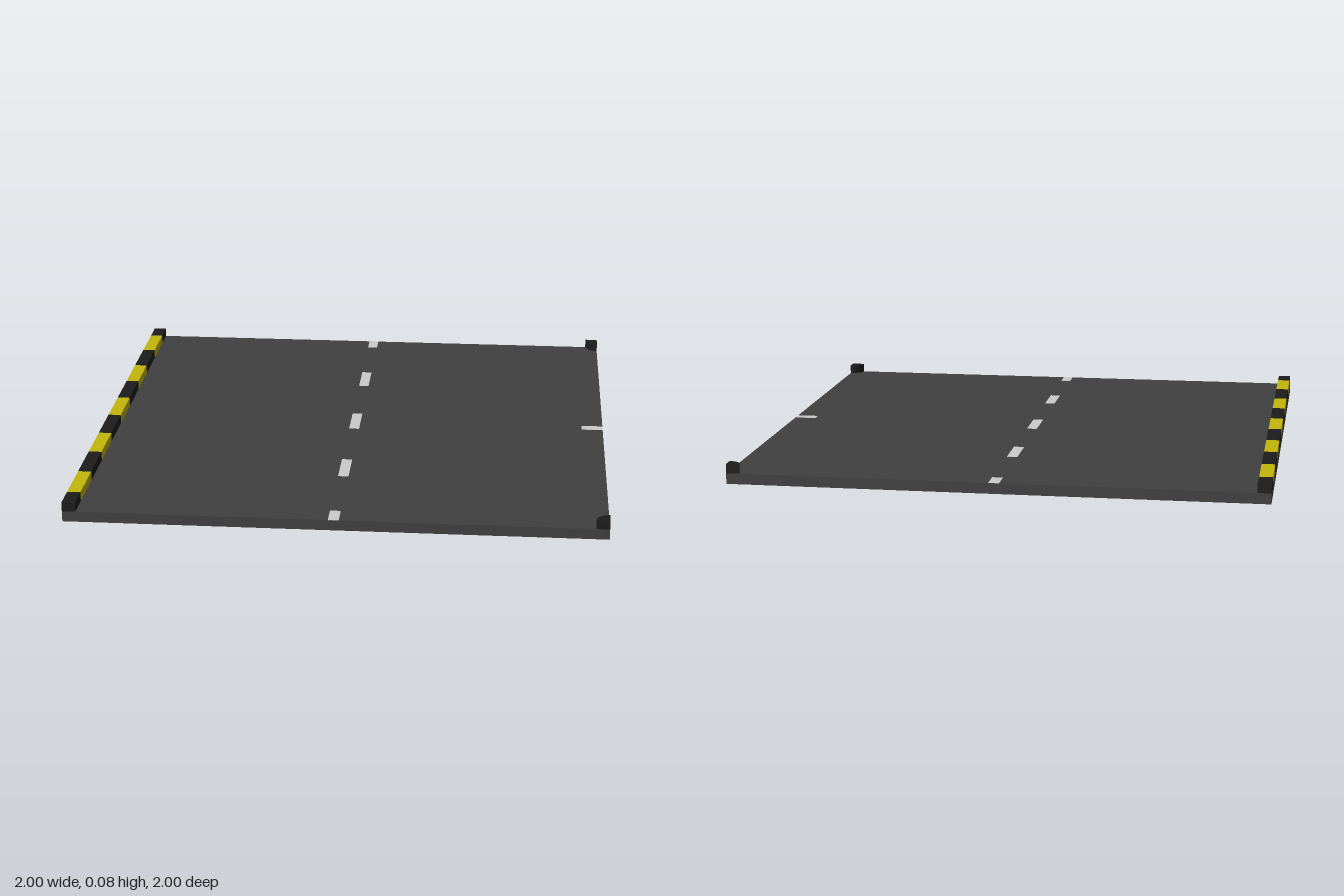
import * as THREE from 'three';

const SLAB = 0.04, TOP = 0.075, KERB = 0.05;

const paint = (color) => new THREE.MeshStandardMaterial({ color });
const asphalt = paint(0x404040);
const black = paint(0x1c1c1c);
const yellow = paint(0xc4b60c);
const white = paint(0xe0e0e0);

// Box given by its lower and upper limits on each axis
function box(name, material, [x0, x1], [y0, y1], [z0, z1]) {
  const mesh = new THREE.Mesh(new THREE.BoxGeometry(x1 - x0, y1 - y0, z1 - z0), material);
  mesh.position.set((x0 + x1) / 2, (y0 + y1) / 2, (z0 + z1) / 2);
  mesh.name = name;
  return mesh;
}

// Quarter-round kerb stone in a corner on the +x side
function cornerKerb(side) {
  const shape = new THREE.Shape();
  shape.moveTo(0, 0);
  shape.lineTo(-KERB, 0);
  shape.absarc(0, 0, KERB, Math.PI, Math.PI / 2, true);
  shape.lineTo(0, 0);
  const geometry = new THREE.ExtrudeGeometry(shape, { depth: TOP - SLAB, bevelEnabled: false, curveSegments: 4 });
  geometry.rotateX(-Math.PI / 2); // now fills -x, -z of its corner
  if (side < 0) geometry.rotateY(Math.PI / 2 * 3).rotateY(Math.PI); // turn to fill -x, +z
  const mesh = new THREE.Mesh(geometry, black);
  mesh.position.set(1, SLAB, side);
  mesh.name = 'cornerKerb';
  return mesh;
}

export function createModel() {
  const model = new THREE.Group();
  model.name = 'roadTile';
  model.add(box('roadSlab', asphalt, [-1, 1], [0, SLAB], [-1, 1]));

  // Striped kerb along the -x edge: half blocks at both ends
  const kerb = new THREE.Group();
  kerb.name = 'stripedKerb';
  for (let i = 0; i <= 10; i++) {
    const z = -1 + i * 0.2;
    const span = [Math.max(-1, z - 0.1), Math.min(1, z + 0.1)];
    kerb.add(box('kerbBlock', i % 2 ? yellow : black, [-1, -1 + KERB], [SLAB, TOP], span));
  }
  model.add(kerb);

  model.add(cornerKerb(1), cornerKerb(-1));

  // Centre line dashes, cut off at the tile edges
  const lines = new THREE.Group();
  lines.name = 'laneMarkings';
  const paintLayer = [SLAB - 0.002, SLAB + 0.001];
  for (let z = -1; z <= 1; z += 0.5) {
    const span = [Math.max(-1, z - 0.085), Math.min(1, z + 0.085)];
    lines.add(box('centreDash', white, [-0.02, 0.02], paintLayer, span));
  }
  lines.add(box('sideRoadDash', white, [0.915, 1], paintLayer, [-0.02, 0.02]));
  model.add(lines);
  return model;
}
